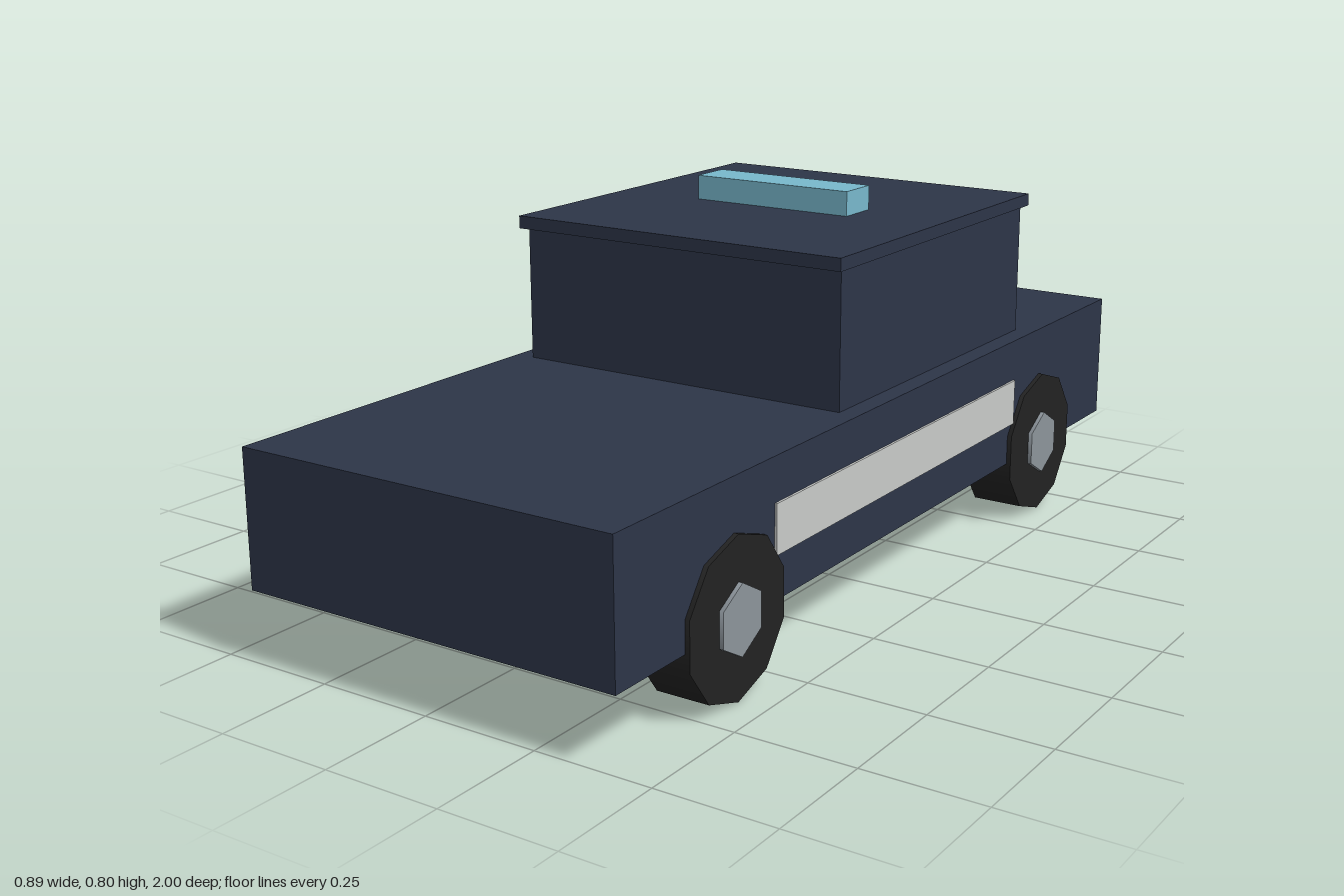
import * as THREE from 'three';

const mat = (name, color) => {
  const m = new THREE.MeshStandardMaterial({ color });
  m.name = name;
  return m;
};

export function createModel() {
  const car = new THREE.Group();
  car.name = 'car';
  const navy = mat('navy paint', 0x2d3548);
  const glow = mat('light blue', 0x78b8cc);
  const pale = mat('pale grey', 0xc9cbc9);
  const rubber = mat('black rubber', 0x222222);
  const steel = mat('steel grey', 0x8c949b);

  // Box given by its x, y and z ranges
  const box = (name, material, [x0, x1], [y0, y1], [z0, z1]) => {
    const mesh = new THREE.Mesh(new THREE.BoxGeometry(x1 - x0, y1 - y0, z1 - z0), material);
    mesh.position.set((x0 + x1) / 2, (y0 + y1) / 2, (z0 + z1) / 2);
    mesh.name = name;
    car.add(mesh);
  };

  box('body', navy, [-0.428, 0.428], [0.148, 0.433], [-1, 1]);
  box('cabin', navy, [-0.385, 0.385], [0.433, 0.72], [-0.6, 0.2]);
  box('roof', navy, [-0.395, 0.395], [0.72, 0.747], [-0.62, 0.22]);
  box('lightBar', glow, [-0.19, 0.19], [0.747, 0.8], [-0.25, -0.155]);

  // Side stripes
  box('leftStripe', pale, [0.426, 0.433], [0.24, 0.342], [-0.505, 0.505]);
  box('rightStripe', pale, [-0.433, -0.426], [0.24, 0.342], [-0.505, 0.505]);

  // Wheels: axis along x, with a corner pointing straight up
  const disc = (name, material, radius, width, sides) => {
    const geo = new THREE.CylinderGeometry(radius, radius, width, sides, 1, false, Math.PI / 2);
    const mesh = new THREE.Mesh(geo.rotateZ(Math.PI / 2), material);
    mesh.name = name;
    return mesh;
  };
  for (const sx of [-1, 1]) {
    for (const sz of [-1, 1]) {
      const wheel = new THREE.Group();
      wheel.name = (sz > 0 ? 'front' : 'back') + (sx > 0 ? 'Left' : 'Right') + 'Wheel';
      wheel.add(disc('tyre', rubber, 0.163, 0.114, 10), disc('hub', steel, 0.072, 0.132, 6));
      wheel.position.set(sx * 0.381, 0.163, sz * 0.642);
      car.add(wheel);
    }
  }
  return car;
}
